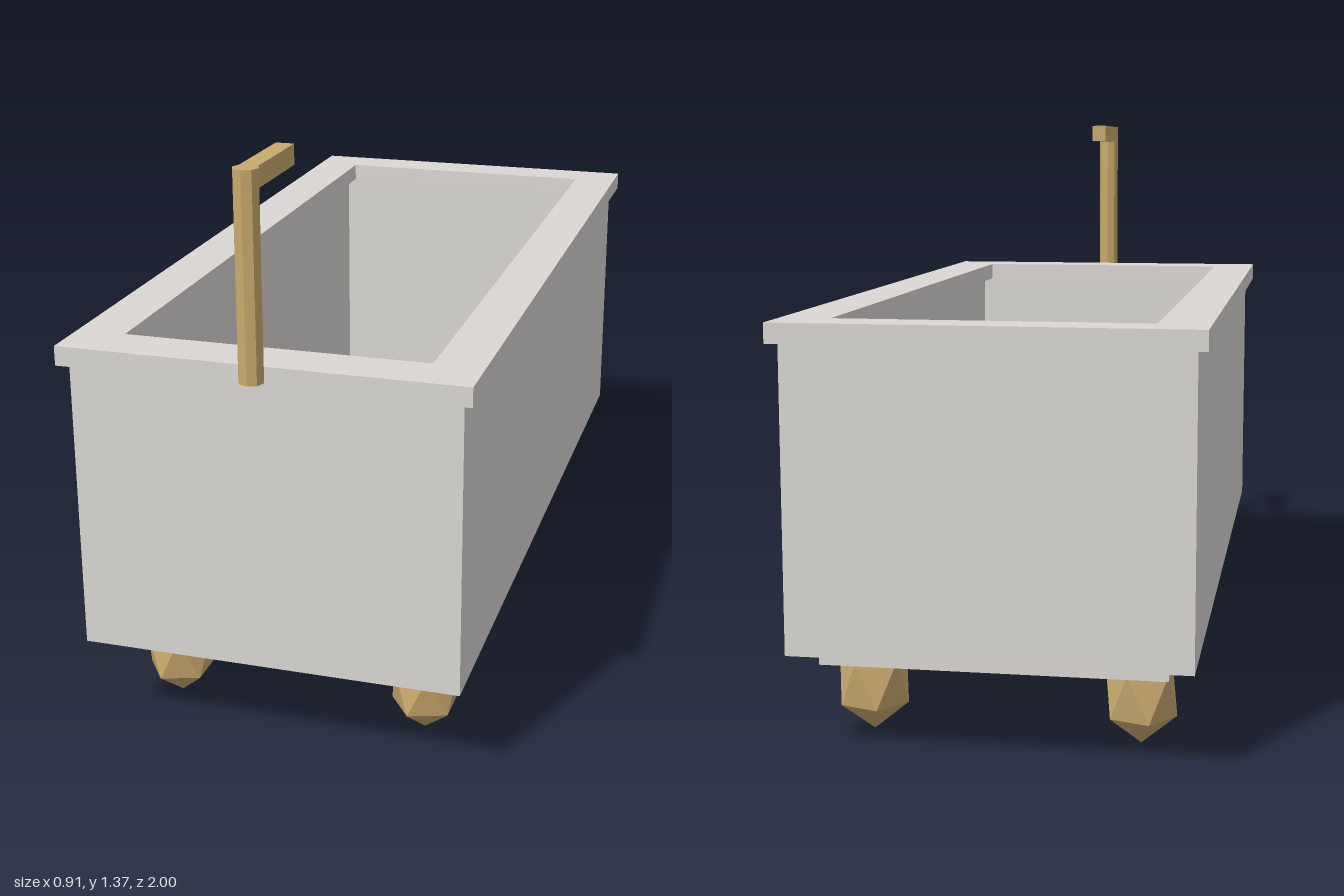
import * as THREE from 'three';
import { ConvexGeometry } from 'three/addons/geometries/ConvexGeometry.js';

const stone = new THREE.MeshStandardMaterial({ color: 0xdad7d4 });
stone.name = 'pale stone';
const brass = new THREE.MeshStandardMaterial({ color: 0xc9a96e });
brass.name = 'brass';
const dark = new THREE.MeshStandardMaterial({ color: 0x1a1a1a });
dark.name = 'dark lining';

// Plans: the rim overhangs the cavity, which matches the base below it
const rimHole = { x: 0.345, z0: -0.892, z1: 0.825 };
const cavity = { x: 0.377, z0: -0.923, z1: 0.862 };

// Rectangle in plan; shape y becomes -z once laid flat
function rect(path, { x, z0, z1 }) {
  path.moveTo(-x, -z1);
  path.lineTo(x, -z1);
  path.lineTo(x, -z0);
  path.lineTo(-x, -z0);
  path.closePath();
  return path;
}

// Flat-lying slab between two heights, optionally with an opening
function slab(name, plan, y0, y1, material, hole) {
  const shape = rect(new THREE.Shape(), plan);
  if (hole) shape.holes.push(rect(new THREE.Path(), hole));
  const geo = new THREE.ExtrudeGeometry(shape, { depth: y1 - y0, bevelEnabled: false });
  geo.rotateX(-Math.PI / 2);
  const mesh = new THREE.Mesh(geo, material);
  mesh.position.y = y0;
  mesh.name = name;
  return mesh;
}

// Stretched twenty-sided foot standing on one point
function footGeometry() {
  const h = 0.117, r = 0.079, ring = h * 0.447;
  const points = [new THREE.Vector3(0, h, 0), new THREE.Vector3(0, -h, 0)];
  for (let i = 0; i < 5; i++) {
    const a = (i * Math.PI * 2) / 5;
    points.push(new THREE.Vector3(r * Math.cos(a), ring, r * Math.sin(a)));
    points.push(new THREE.Vector3(-r * Math.cos(a), -ring, -r * Math.sin(a)));
  }
  return new ConvexGeometry(points);
}

export function createModel() {
  const model = new THREE.Group();
  model.name = 'bathtub';

  // Tub
  model.add(
    slab('base', cavity, 0.196, 0.229, stone),
    slab('walls', { x: 0.435, z0: -0.977, z1: 0.919 }, 0.229, 0.898, stone, cavity),
    slab('rim', { x: 0.457, z0: -1, z1: 0.941 }, 0.898, 0.942, stone, rimHole),
    slab('floor', cavity, 0.229, 0.292, dark)
  );

  // Feet
  const footGeo = footGeometry();
  for (const x of [-0.302, 0.302]) {
    for (const z of [0.694, -0.753]) {
      const foot = new THREE.Mesh(footGeo, brass);
      foot.position.set(x, 0.117, z);
      foot.name = 'foot';
      model.add(foot);
    }
  }

  // Faucet
  const faucet = new THREE.Group();
  faucet.name = 'faucet';
  const postGeo = new THREE.CylinderGeometry(0.028, 0.028, 0.447, 8).toNonIndexed();
  postGeo.computeVertexNormals();
  const post = new THREE.Mesh(postGeo, brass);
  post.position.set(0, 1.1415, 0.972);
  post.name = 'faucetPost';
  const spout = new THREE.Mesh(new THREE.BoxGeometry(0.04, 0.045, 0.233), brass);
  spout.position.set(0, 1.3428, 0.8545);
  spout.name = 'faucetSpout';
  faucet.add(post, spout);
  model.add(faucet);

  return model;
}
